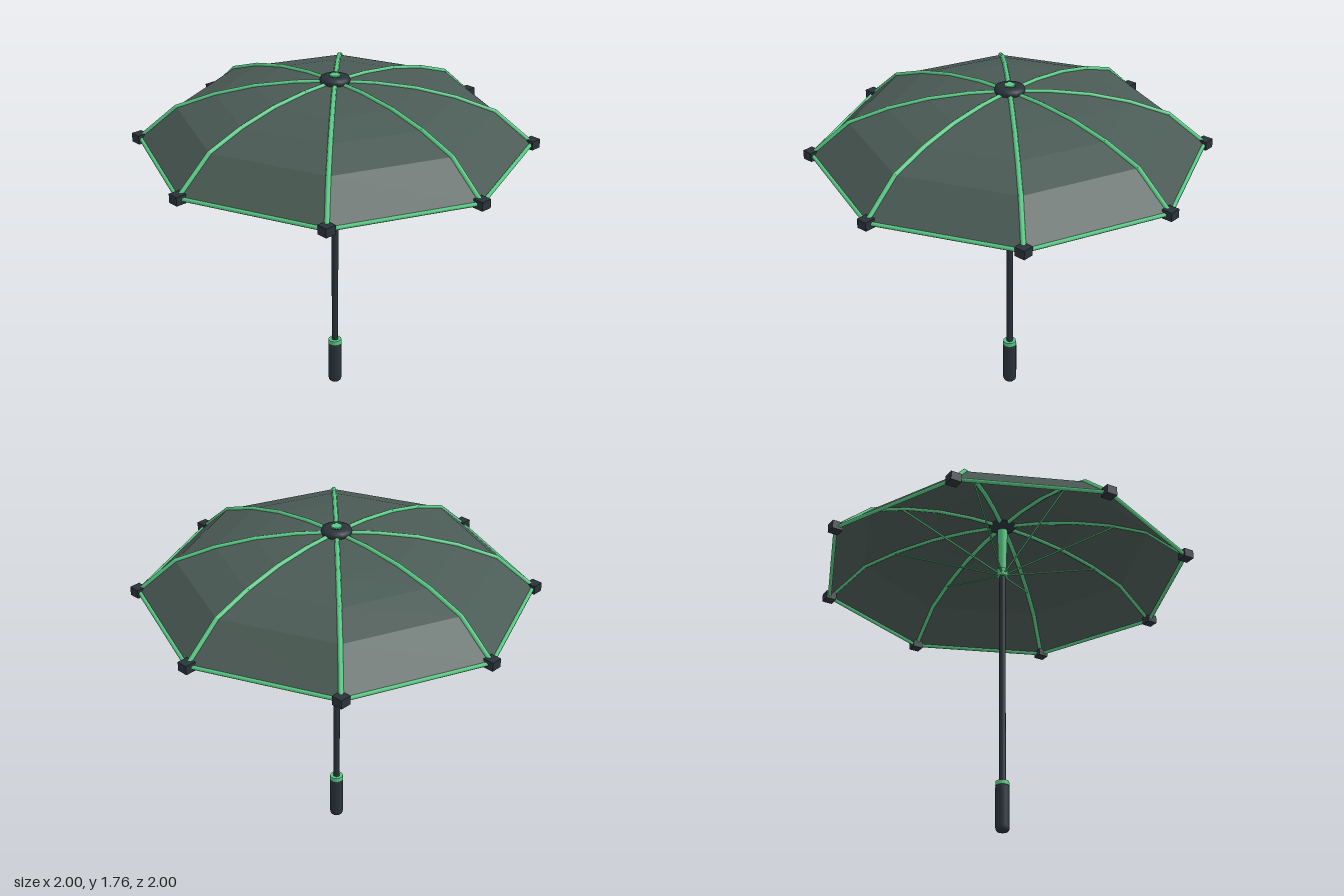
import * as THREE from 'three';

const RIBS = 8;
// Canopy cross-section as [radius, height], rim to apex
const PROFILE = [[0.97, 1.41], [0.78, 1.575], [0.587, 1.645], [0.393, 1.69], [0.197, 1.713], [0, 1.72]];

export function createModel() {
  const model = new THREE.Group();
  model.name = 'umbrella';

  const dark = new THREE.MeshStandardMaterial({ color: 0x2a333a });
  const green = new THREE.MeshStandardMaterial({ color: 0x58c884 });
  const cloth = new THREE.MeshStandardMaterial({ color: 0x4a5a54, flatShading: true, side: THREE.DoubleSide });

  const add = (name, geometry, material, parent = model) => {
    const mesh = new THREE.Mesh(geometry, material);
    mesh.name = name;
    parent.add(mesh);
    return mesh;
  };
  const lathe = (points, segments) =>
    new THREE.LatheGeometry(points.map(([r, y]) => new THREE.Vector2(r, y)), segments);
  const cylinder = (name, rTop, rBottom, y0, y1, material, sides = 16) => {
    const mesh = add(name, new THREE.CylinderGeometry(rTop, rBottom, y1 - y0, sides), material);
    mesh.position.y = (y0 + y1) / 2;
    return mesh;
  };
  // Straight rod between two points
  const rod = (name, a, b, radius, material, parent) => {
    const mesh = add(name, new THREE.CylinderGeometry(radius, radius, a.distanceTo(b), 8), material, parent);
    mesh.position.copy(a).lerp(b, 0.5);
    mesh.quaternion.setFromUnitVectors(new THREE.Vector3(0, 1, 0), b.clone().sub(a).normalize());
    return mesh;
  };

  // Faceted eight-panel canopy
  add('canopy', lathe(PROFILE, RIBS), cloth);

  // Ribs, stretchers, rim piping and tips, one set per corner
  const ribPoints = PROFILE.map(([r, y]) => new THREE.Vector3(r, y, 0));
  const angle = (Math.PI * 2) / RIBS;
  const nextCorner = ribPoints[0].clone().applyAxisAngle(new THREE.Vector3(0, 1, 0), angle);
  for (let i = 0; i < RIBS; i++) {
    const sector = new THREE.Group();
    sector.name = 'ribSection';
    sector.rotation.y = i * angle;
    model.add(sector);
    for (let j = 0; j < ribPoints.length - 1; j++) {
      rod('rib', ribPoints[j], ribPoints[j + 1], 0.012, green, sector);
      if (j > 0) add('ribJoint', new THREE.SphereGeometry(0.012, 8, 6), green, sector).position.copy(ribPoints[j]);
    }
    rod('rimPiping', ribPoints[0], nextCorner, 0.01, green, sector);
    rod('stretcher', new THREE.Vector3(0.02, 1.425, 0), new THREE.Vector3(0.6, 1.63, 0), 0.005, green, sector);
    // Tips stay square to the axes
    const tip = add('ribTip', new THREE.BoxGeometry(0.056, 0.045, 0.056), dark, sector);
    tip.position.copy(ribPoints[0]);
    tip.rotation.y = -i * angle;
  }

  // Shaft with the sliding runner and upper sleeve
  cylinder('shaft', 0.017, 0.017, 0.2, 1.72, dark);
  cylinder('runner', 0.03, 0.03, 1.41, 1.45, green);
  cylinder('sleeve', 0.028, 0.02, 1.45, 1.69, green);

  // Top cap with button
  add('topCap', lathe([[0, 1.69], [0.05, 1.7], [0.07, 1.712], [0.076, 1.728], [0.072, 1.742],
    [0.055, 1.75], [0.036, 1.754], [0.028, 1.75], [0, 1.75]], 16), dark);
  cylinder('topButton', 0.026, 0.028, 1.74, 1.756, green);

  // Handle: rounded grip with a collar
  add('grip', lathe([[0, 0], [0.026, 0], [0.033, 0.008], [0.036, 0.022], [0.036, 0.225],
    [0.034, 0.235], [0, 0.235]], 16), dark);
  cylinder('collar', 0.034, 0.036, 0.235, 0.258, green);

  return model;
}
